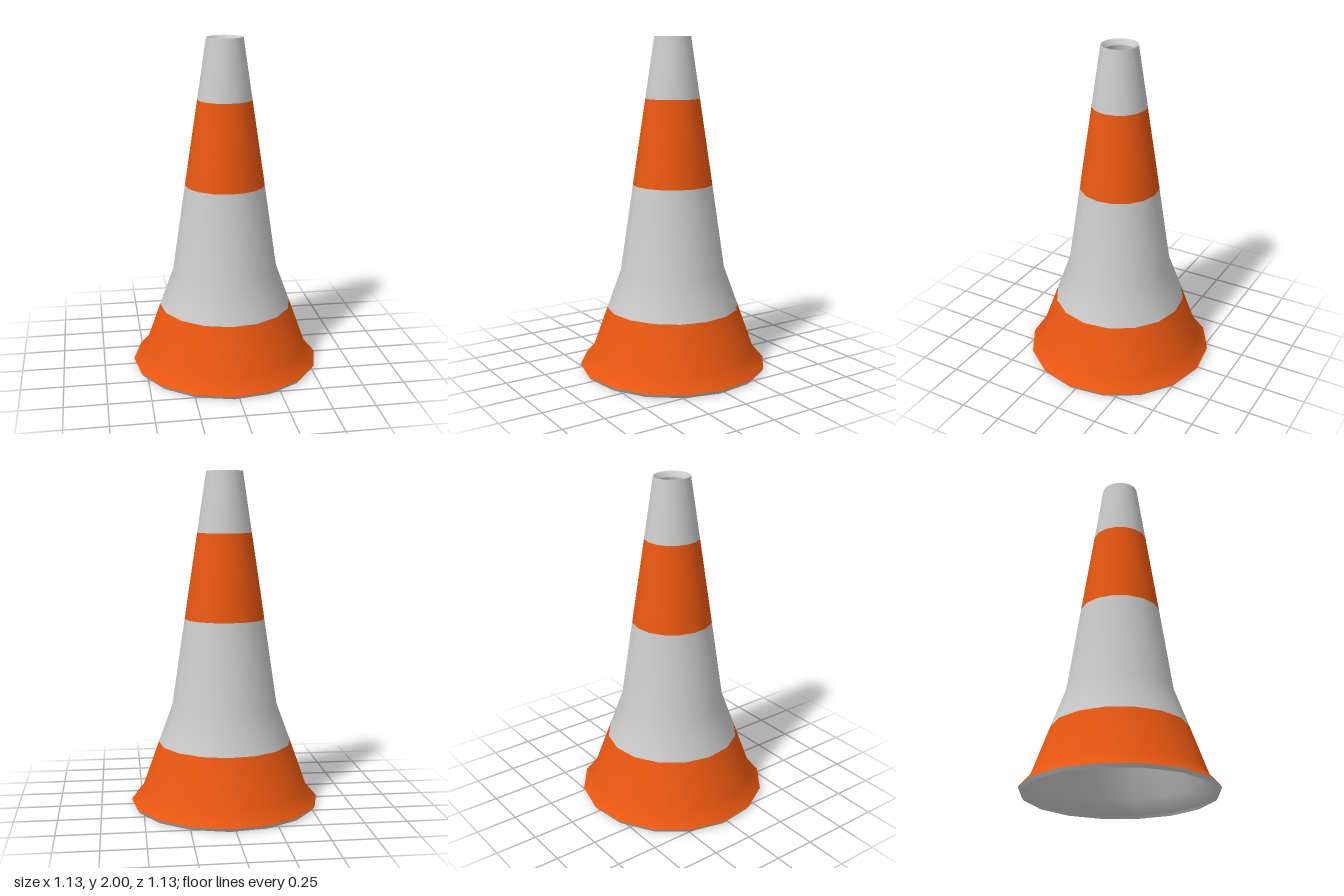
import * as THREE from 'three';

const SIDES = 16;
const TURN = -0.057; // slight twist of the 16-sided cone about its axis

export function createModel() {
  const cone = new THREE.Group();
  cone.name = 'trafficCone';

  const orange = new THREE.MeshStandardMaterial({ color: 0xea5710 });
  const grey = new THREE.MeshStandardMaterial({ color: 0xcccccc });

  // Revolves a [radius, height] profile; running upwards makes it face outwards
  function ring(name, material, profile) {
    const points = profile.map(([r, y]) => new THREE.Vector2(r, y));
    const mesh = new THREE.Mesh(new THREE.LatheGeometry(points, SIDES, TURN), material);
    mesh.name = name;
    cone.add(mesh);
  }

  // Outer skin, from the flared foot to the tip
  ring('footBand', orange, [[0.568, 0.02], [0.5, 0.1], [0.4, 0.38]]);
  ring('lowerReflectiveBand', grey, [[0.4, 0.38], [0.316, 0.61], [0.239, 1.13]]);
  ring('upperBand', orange, [[0.239, 1.13], [0.162, 1.64]]);
  ring('tipBand', grey, [[0.162, 1.64], [0.108, 2]]);

  // Rounded lip of the open tip
  ring('tipLip', grey, [[0.108, 2], [0.097, 1.997], [0.082, 1.97]]);

  // Hollow inside, running downwards so that it faces the axis
  ring('innerWall', grey, [
    [0.082, 1.97], [0.138, 1.64], [0.215, 1.13], [0.292, 0.61], [0.376, 0.38], [0.476, 0.1], [0.545, 0.015],
  ]);

  // Thin rim the cone stands on
  ring('bottomRim', grey, [[0.545, 0.015], [0.555, 0]]);
  ring('rimEdge', grey, [[0.555, 0], [0.568, 0.02]]);

  return cone;
}
